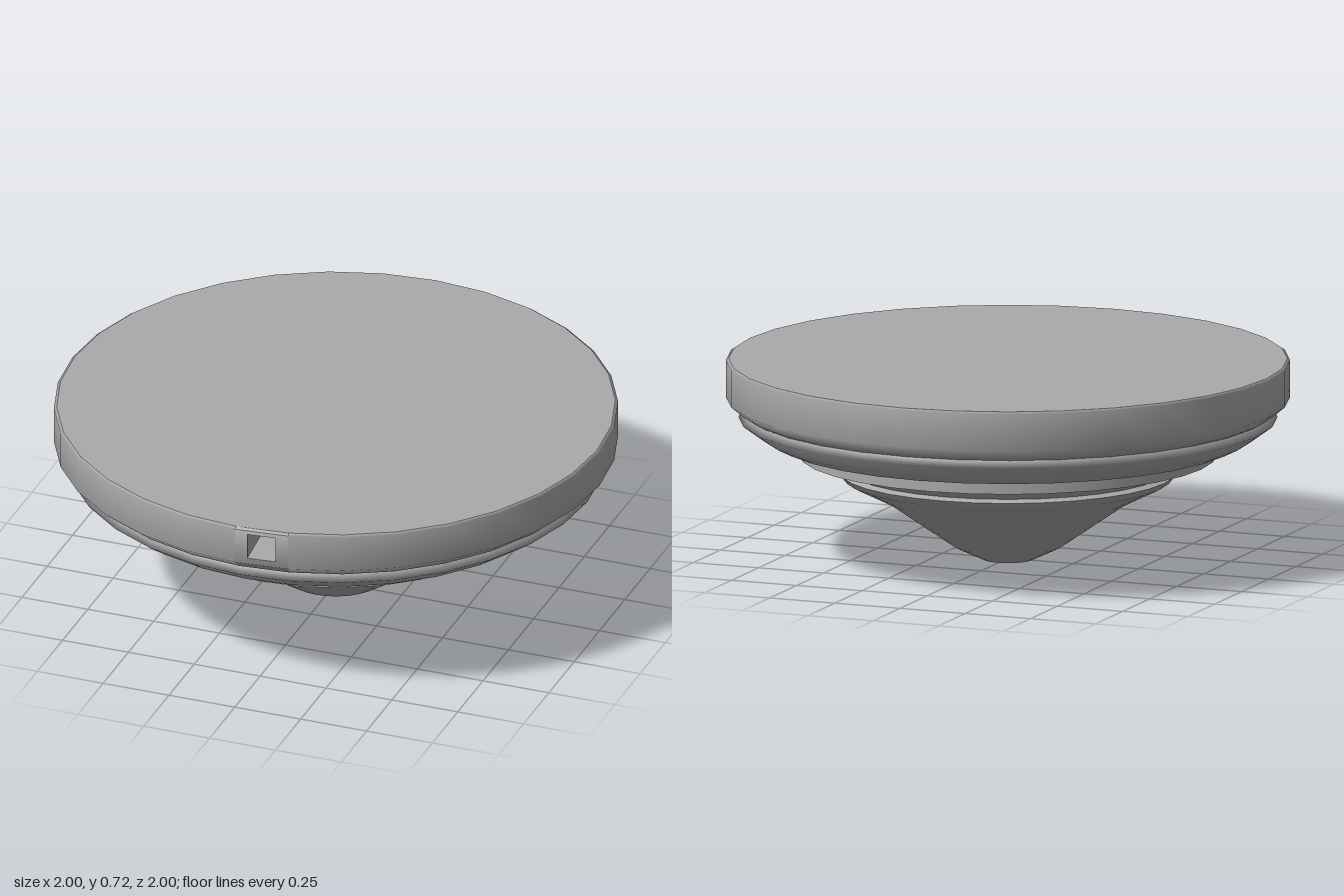
import * as THREE from 'three';

const SIDES = 32;
const STEP = (Math.PI * 2) / SIDES;

export function createModel() {
  const model = new THREE.Group();
  model.name = 'saucer';
  const grey = new THREE.MeshStandardMaterial({ color: 0xaaaaaa });
  grey.name = 'grey';

  const add = (name, geometry, parent = model) => {
    const mesh = new THREE.Mesh(geometry, grey);
    mesh.name = name;
    parent.add(mesh);
    return mesh;
  };
  // Turned part from [radius, height] pairs, listed from bottom to top
  const turn = (name, pairs, segments = SIDES, start = 0) =>
    add(name, new THREE.LatheGeometry(
      pairs.map(([r, y]) => new THREE.Vector2(r, y)), segments, start, segments * STEP));

  // Tapered underside
  turn('noseCone', [[0, 0], [0.09, 0], [0.195, 0.05], [0.44, 0.22], [0.58, 0.29], [0.6, 0.315]]);
  turn('noseLip', [[0.6, 0.315], [0.575, 0.325]]);
  turn('neck', [[0.575, 0.325], [0.64, 0.375]]);

  // Flat collar
  turn('collarUnderside', [[0.62, 0.375], [0.74, 0.375]]);
  turn('collarEdge', [[0.74, 0.375], [0.74, 0.43]]);

  // Stepped lower hull
  turn('hullUnderside', [[0.72, 0.43], [0.83, 0.43]]);
  turn('lowerHull', [[0.83, 0.43], [0.88, 0.455], [0.955, 0.51], [0.935, 0.535]]);
  turn('hullStep', [[0.935, 0.535], [0.955, 0.545], [1, 0.583]], 1);

  // Rim band, leaving one facet open at the front for the socket
  const low = 0.583, high = 0.715;
  turn('rimBand', [[0.935, 0.535], [0.955, 0.545], [1, low], [1, high], [0.99, 0.722]], SIDES - 1, STEP);
  turn('rimEdge', [[1, high], [0.99, 0.722]], 1);

  // Top deck
  const deck = add('topDeck', new THREE.CircleGeometry(0.99, SIDES));
  deck.rotation.x = -Math.PI / 2;
  deck.position.y = 0.722;

  // Front facet with a square socket sunk into it
  const socket = new THREE.Group();
  socket.name = 'frontSocket';
  socket.rotation.y = STEP / 2;
  model.add(socket);

  const half = Math.sin(STEP / 2), dist = Math.cos(STEP / 2);
  const w = 0.052, y0 = 0.605, y1 = 0.7, depth = 0.25;
  const rect = (path, x, a, b) =>
    path.moveTo(-x, a).lineTo(x, a).lineTo(x, b).lineTo(-x, b).closePath();
  const shape = new THREE.Shape();
  rect(shape, half, low, high);
  const hole = new THREE.Path();
  rect(hole, w, y0, y1);
  shape.holes.push(hole);
  const facet = new THREE.ShapeGeometry(shape);
  // Round the normals so the facet blends with the band
  const p = facet.attributes.position, n = facet.attributes.normal;
  for (let i = 0; i < p.count; i++) {
    const t = (p.getY(i) - low) / (high - low);
    const v = new THREE.Vector3(p.getX(i), THREE.MathUtils.lerp(-0.4, 0.35, t), dist).normalize();
    n.setXYZ(i, v.x, v.y, v.z);
  }
  add('socketFacet', facet, socket).position.z = dist;

  // Socket walls: a box turned inside out with its front removed
  const box = new THREE.BoxGeometry(w * 2, y1 - y0, depth);
  const faces = Array.from(box.index.array).filter((_, i) => i < 24 || i > 29);
  box.setIndex(faces.reverse());
  box.clearGroups();
  const bn = box.attributes.normal;
  for (let i = 0; i < bn.count; i++) bn.setXYZ(i, -bn.getX(i), -bn.getY(i), -bn.getZ(i));
  add('socketWalls', box, socket).position.set(0, (y0 + y1) / 2, dist - depth / 2);

  return model;
}
